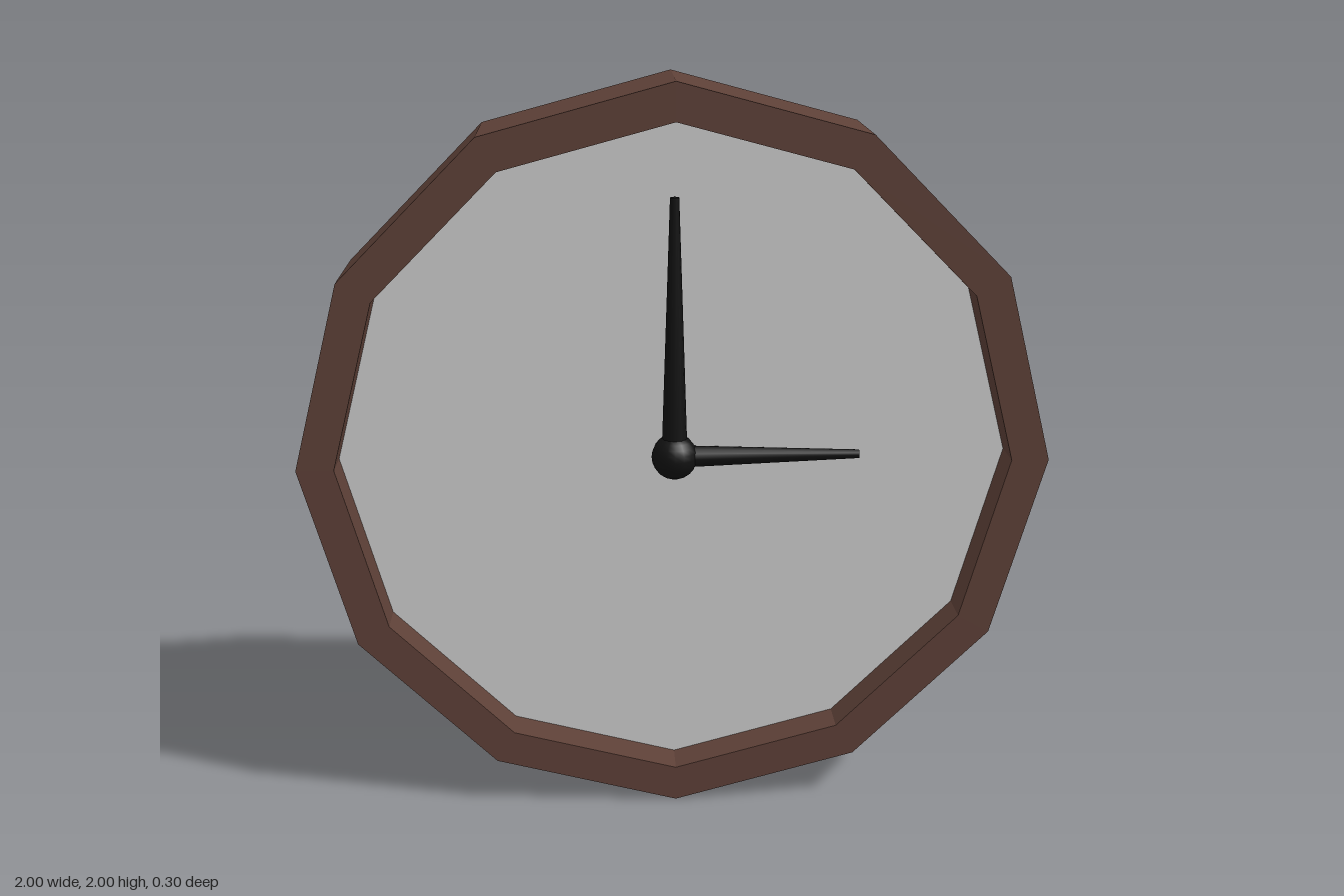
import * as THREE from 'three';

const SIDES = 12;
const DEPTH = 0.3;
const FACE_DEPTH = 0.2;

// Corners of a regular polygon with one corner pointing straight up
function ring(radius) {
  return Array.from({ length: SIDES }, (_, i) => {
    const a = (i / SIDES) * Math.PI * 2;
    return new THREE.Vector2(Math.cos(a) * radius, Math.sin(a) * radius);
  });
}

function addMesh(group, name, geometry, material) {
  const mesh = new THREE.Mesh(geometry, material);
  mesh.name = name;
  group.add(mesh);
  return mesh;
}

export function createModel() {
  const clock = new THREE.Group();
  clock.name = 'wallClock';

  const wood = new THREE.MeshStandardMaterial({ color: 0x5d4037, flatShading: true });
  const grey = new THREE.MeshStandardMaterial({ color: 0xcccccc, flatShading: true });
  const black = new THREE.MeshStandardMaterial({ color: 0x111111 });

  // Twelve-sided wooden frame
  const frameShape = new THREE.Shape(ring(1));
  frameShape.holes.push(new THREE.Path(ring(0.9)));
  const frame = addMesh(clock, 'frame',
    new THREE.ExtrudeGeometry(frameShape, { depth: DEPTH, bevelEnabled: false }), wood);
  frame.position.set(0, 1, -DEPTH / 2);

  // Dial: flush with the back, recessed at the front
  const dial = addMesh(clock, 'dial',
    new THREE.ExtrudeGeometry(new THREE.Shape(ring(0.9)), { depth: FACE_DEPTH, bevelEnabled: false }), grey);
  dial.position.set(0, 1, -DEPTH / 2);

  // Hub and tapered hands, all on one axis in front of the dial
  const hands = new THREE.Group();
  hands.name = 'hands';
  hands.position.set(0, 1, 0.075);
  clock.add(hands);

  addMesh(hands, 'hub', new THREE.SphereGeometry(0.062, 16, 12), black);

  const addHand = (name, length, baseRadius, angle) => {
    const geometry = new THREE.CylinderGeometry(0.012, baseRadius, length, 12);
    geometry.translate(0, length / 2, 0);
    addMesh(hands, name, geometry, black).rotation.z = angle;
  };
  addHand('minuteHand', 0.7, 0.035, 0);
  addHand('hourHand', 0.5, 0.031, -Math.PI / 2);

  return clock;
}
